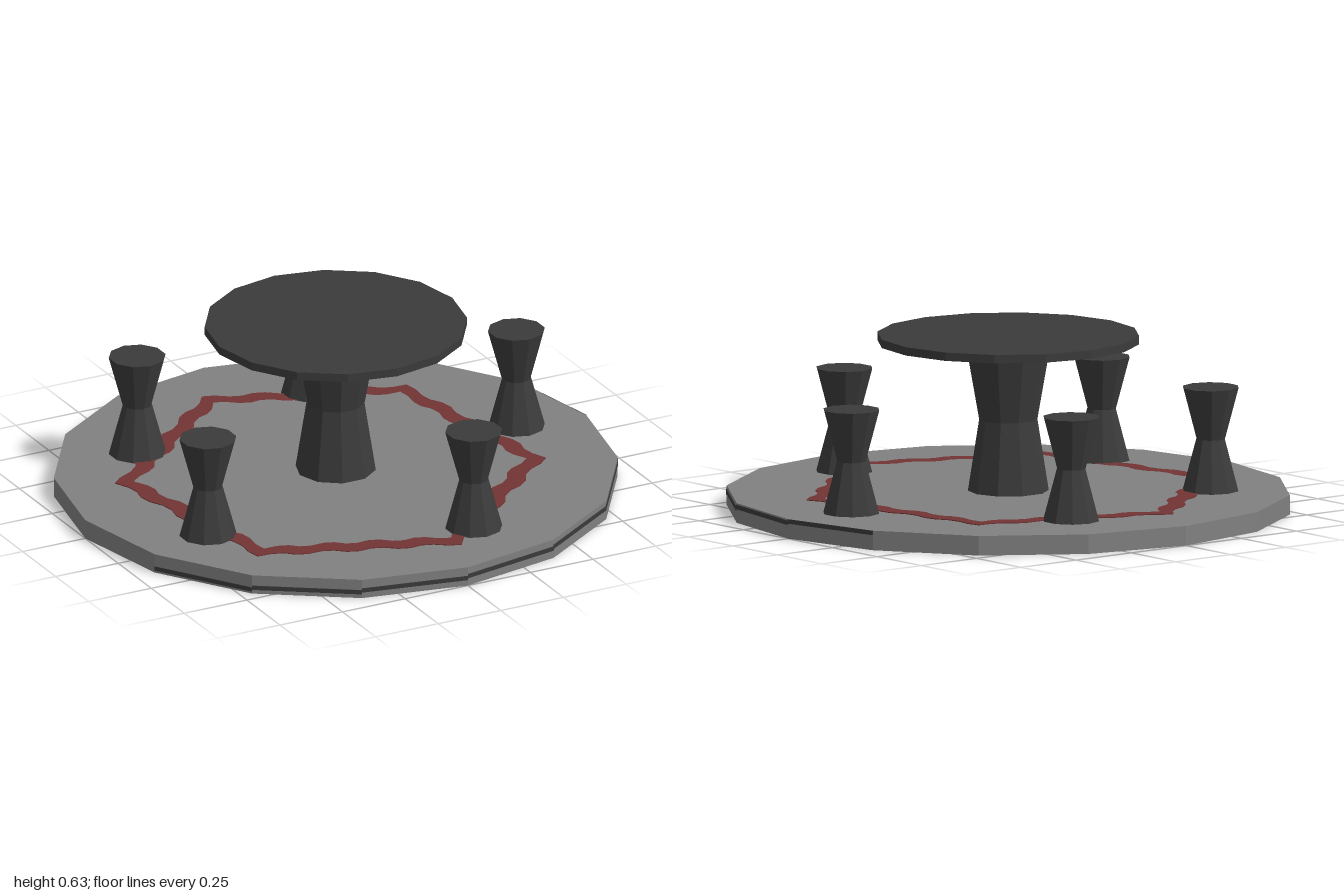
import * as THREE from 'three';

const mat = (name, color) => {
  const m = new THREE.MeshStandardMaterial({ color, flatShading: true });
  m.name = name;
  return m;
};

export function createModel() {
  const model = new THREE.Group();
  const grey = mat('stone grey', 0x808080);
  const dark = mat('charcoal', 0x3b3b3b);
  const red = mat('dull red', 0x723333);

  const add = (name, geometry, material, x = 0, y = 0, z = 0) => {
    const mesh = new THREE.Mesh(geometry, material);
    mesh.name = name;
    mesh.position.set(x, y, z);
    model.add(mesh);
    return mesh;
  };

  // closed faceted solid pinched at the waist
  const hourglass = (bottom, waist, top, waistY, height, phase) =>
    new THREE.LatheGeometry([
      new THREE.Vector2(0, 0),
      new THREE.Vector2(bottom, 0),
      new THREE.Vector2(waist, waistY),
      new THREE.Vector2(top, height),
      new THREE.Vector2(0, height),
    ], 10, phase);

  const floor = 0.07;
  add('base', new THREE.CylinderGeometry(1, 1, floor, 16), grey, 0, floor / 2, 0);

  // dark strips climbing around the rim, one per facet
  const step = Math.PI / 8;
  const apothem = Math.cos(step / 2);
  for (let i = 0; i < 8; i++) {
    const a = (i - 2.5) * step;
    const strip = add('rimStrip', new THREE.BoxGeometry(2 * Math.sin(step / 2), 0.016, 0.004), dark,
      Math.sin(a) * apothem, Math.min(0.016 + i * 0.0068, 0.062), Math.cos(a) * apothem);
    strip.rotation.y = a;
  }

  // table
  add('tablePedestal', hourglass(0.143, 0.103, 0.152, 0.255, 0.535, Math.PI / 10), dark, 0, floor, 0);
  add('tableTop', new THREE.CylinderGeometry(0.465, 0.465, 0.03, 16), dark, 0, 0.615, 0);

  // stools
  const stool = hourglass(0.102, 0.052, 0.102, 0.185, 0.37, 0);
  [[0.235, -0.645], [-0.556, -0.449], [0.738, -0.032], [-0.674, 0.31], [0.187, 0.69]]
    .forEach(([x, z]) => add('stool', stool, dark, x, floor, z));

  // ragged red ring painted on the floor
  const corners = [[-0.12, -0.73], [0.53, -0.5], [0.655, 0.257], [0.07, 0.77], [-0.58, 0.54], [-0.715, -0.225]]
    .map(([x, z]) => new THREE.Vector2(x, -z));
  const outer = [], inner = [];
  corners.forEach((c, i) => {
    const next = corners[(i + 1) % corners.length];
    for (let k = 0; k < 16; k++) {
      const p = c.clone().lerp(next, k / 16);
      const wobble = k % 4 < 2 ? 0.009 : -0.009;
      const r = p.length() + wobble;
      outer.push(p.clone().setLength(r + 0.034));
      inner.push(p.clone().setLength(r - 0.034));
    }
  });
  const ring = new THREE.Shape(outer);
  ring.holes.push(new THREE.Path(inner));
  const ringGeometry = new THREE.ExtrudeGeometry(ring, { depth: 0.004, bevelEnabled: false });
  ringGeometry.rotateX(-Math.PI / 2);
  add('floorRing', ringGeometry, red, 0, floor - 0.001, 0);

  return model;
}
